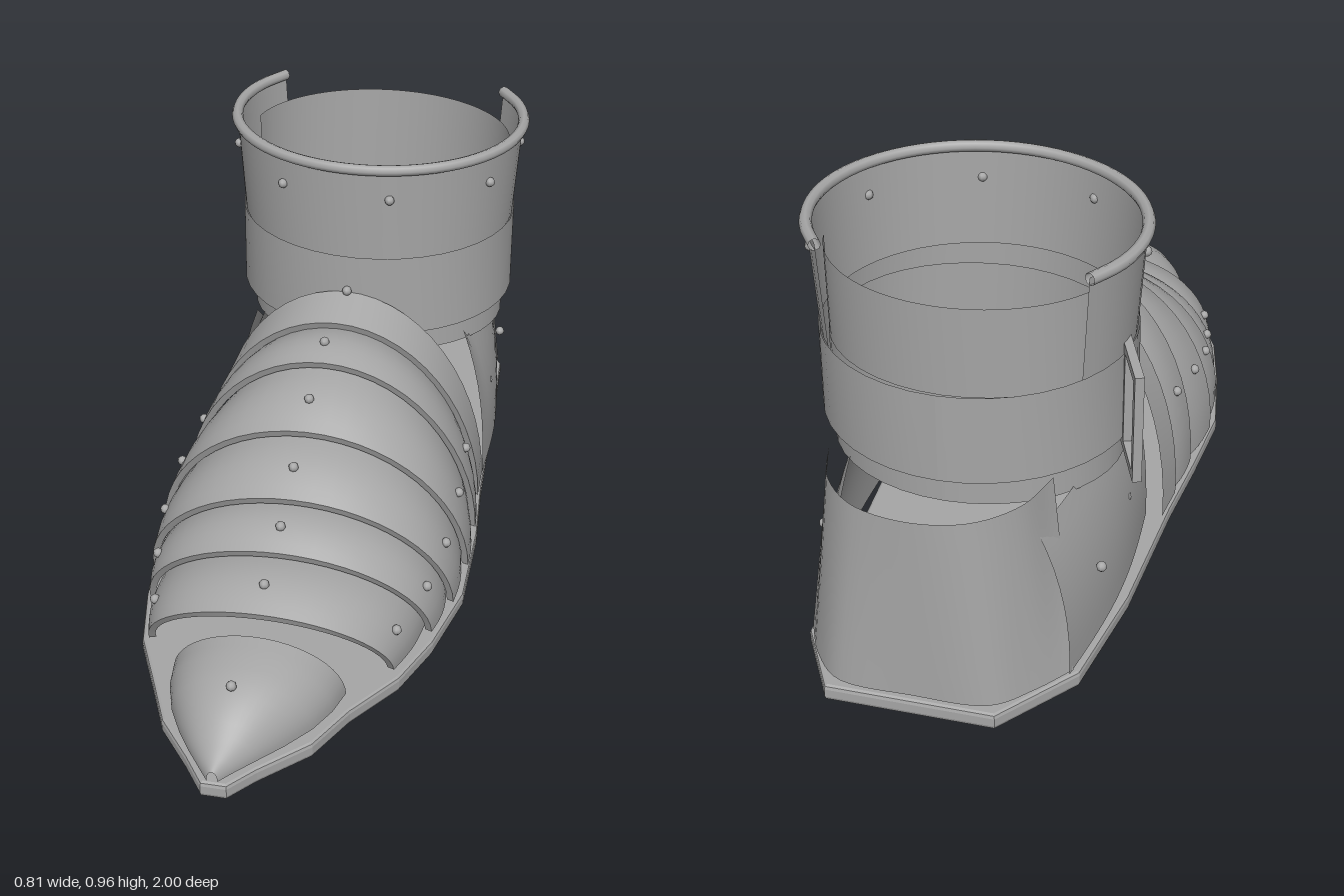
import * as THREE from 'three';

const steel = new THREE.MeshStandardMaterial({ color: 0xa6a6a6, side: THREE.DoubleSide });
steel.name = 'steel';
const BASE = 0.05;
const lerp = THREE.MathUtils.lerp;

// Grid surface from a rule fn(u, v) -> [x, y, z]
function surface(name, fn, nu, nv) {
  const pos = [], idx = [];
  for (let j = 0; j <= nv; j++)
    for (let i = 0; i <= nu; i++) pos.push(...fn(i / nu, j / nv));
  for (let j = 0; j < nv; j++)
    for (let i = 0; i < nu; i++) {
      const a = j * (nu + 1) + i, b = a + 1, c = a + nu + 1, d = c + 1;
      idx.push(a, b, c, b, d, c);
    }
  const g = new THREE.BufferGeometry();
  g.setAttribute('position', new THREE.Float32BufferAttribute(pos, 3));
  g.setIndex(idx);
  g.computeVertexNormals();
  const m = new THREE.Mesh(g, steel);
  m.name = name;
  return m;
}

// Point on an arched cross-section s = [z, height, halfWidth, centreX], feet swept back by shear
function arch(s, t, shear) {
  const a = Math.PI * t, k = Math.sin(a);
  return [s[3] + s[2] * Math.cos(a), BASE + (s[1] - BASE) * k, s[0] - shear * (1 - k)];
}
const mix = (a, b, t) => a.map((v, i) => lerp(v, b[i], t));

// Linear sample along a list of stations
function sample(list, t) {
  const f = t * (list.length - 1), i = Math.min(Math.floor(f), list.length - 2);
  return mix(list[i], list[i + 1], f - i);
}

// Part of an elliptical tube around the ankle, angles measured from the front
function ring(name, y0, y1, r0, r1, from, to, cz = -0.49) {
  return surface(name, (u, v) => {
    const a = lerp(from, to, u);
    return [0.03 + lerp(r0[0], r1[0], v) * Math.sin(a), lerp(y0, y1, v), cz + lerp(r0[1], r1[1], v) * Math.cos(a)];
  }, 40, 2);
}

function tube(name, points, radius, segments) {
  const curve = new THREE.CatmullRomCurve3(points);
  const m = new THREE.Mesh(new THREE.TubeGeometry(curve, segments, radius, 8), steel);
  m.name = name;
  return m;
}

export function createModel() {
  const group = new THREE.Group();
  const rivetGeo = new THREE.SphereGeometry(0.012, 8, 6);
  const rivet = (p) => {
    const m = new THREE.Mesh(rivetGeo, steel);
    m.name = 'rivet';
    m.position.set(...p);
    group.add(m);
  };

  // Flat pointed sole
  const outline = [
    [-0.13, -0.99], [0.24, -0.99], [0.33, -0.83], [0.34, -0.6], [0.355, -0.2], [0.37, 0], [0.37, 0.25],
    [0.325, 0.44], [0.27, 0.58], [0.18, 0.71], [0.12, 0.83], [0.02, 0.93], [-0.03, 0.99], [-0.08, 0.99],
    [-0.13, 0.92], [-0.21, 0.82], [-0.26, 0.71], [-0.33, 0.56], [-0.365, 0.4], [-0.395, 0.2],
    [-0.375, 0], [-0.35, -0.2], [-0.32, -0.55], [-0.27, -0.82]
  ].map(([x, z]) => new THREE.Vector2(x, -z));
  const soleGeo = new THREE.ExtrudeGeometry(new THREE.Shape(outline), {
    depth: 0.02, bevelThickness: 0.01, bevelSize: 0.008, bevelSegments: 2
  });
  soleGeo.rotateX(-Math.PI / 2).translate(0, 0.01, 0);
  const sole = new THREE.Mesh(soleGeo, steel);
  sole.name = 'sole';
  group.add(sole);

  // Overlapping lames over the foot: each seam is [z, height, halfWidth, centreX]
  const seams = [
    [-0.16, 0.61, 0.352, 0.005], [-0.06, 0.575, 0.36, 0], [0.08, 0.545, 0.372, 0], [0.24, 0.45, 0.385, -0.01],
    [0.39, 0.36, 0.372, -0.012], [0.51, 0.295, 0.342, -0.016], [0.66, 0.235, 0.29, -0.028]
  ];
  for (let k = 0; k < seams.length - 1; k++) {
    const first = k === 0;
    const rear = [...seams[k]], front = [...seams[k + 1]];
    if (!first) {
      rear[0] -= 0.02;
      rear[1] -= 0.022;
      rear[2] -= 0.02;
    }
    const section = (v) => {
      const s = mix(rear, front, v), bulge = first ? 0 : Math.sin(Math.PI * v);
      s[1] += 0.016 * bulge;
      s[2] += 0.008 * bulge;
      return s;
    };
    group.add(surface(first ? 'instepPlate' : 'footLame', (u, v) => arch(section(v), u, 0.09), 28, 6));
    // Turned-in front lip giving the plate its thickness
    const inner = [front[0] - 0.006, front[1] - 0.018, front[2] - 0.016, front[3]];
    group.add(surface('lameLip', (u, v) => arch(mix(front, inner, v), u, 0.09), 28, 1));
    // Rivets on the crown and both flanks
    const mid = section(0.6);
    mid[1] += 0.003;
    mid[2] += 0.004;
    if (first) rivet([0.01, 0.615, -0.155]);
    else for (const t of [0.14, 0.51, 0.86]) rivet(arch(mid, t, 0.09));
  }

  // Pointed toe cap
  const toe = [
    [0.7, 0.205, 0.2, -0.03], [0.76, 0.197, 0.187, -0.035], [0.82, 0.183, 0.16, -0.04], [0.88, 0.155, 0.118, -0.047],
    [0.93, 0.115, 0.075, -0.053], [0.97, 0.09, 0.038, -0.056], [0.998, 0.075, 0.012, -0.057]
  ];
  group.add(surface('toeCap', (u, v) => arch(sample(toe, v), u, 0.03 * (1 - v)), 24, 12));
  rivet([-0.05, 0.18, 0.84]);

  // Side plates, leaning inward towards the top
  for (const side of [1, -1]) {
    group.add(surface('sidePlate', (u, v) => {
      const t = side > 0 ? u : 1 - u;
      const bottom = lerp(0.32, 0.285, t), top = lerp(0.255, 0.215, t);
      const height = 0.42 + 0.06 * Math.max(0, 1 - t * 8);
      const x = lerp(bottom, top, v ** 2.4) + 0.025 * Math.sin(Math.PI * t) + 0.012 * (1 - t);
      return [side * x + 0.025, lerp(BASE, height, v), lerp(-0.25, -0.845, t)];
    }, 16, 8));
    for (const z of [-0.43, -0.69]) rivet([side * 0.318 + 0.025, 0.23, z]);
  }

  // Heel counter, lofted from a squarish foot to a round top edge
  const curveOf = (pts) => new THREE.CatmullRomCurve3(pts.map((p) => new THREE.Vector3(...p)));
  const heelBottom = curveOf([[0.33, BASE, -0.83], [0.29, BASE, -0.91], [0.22, BASE, -0.98], [0.05, BASE, -0.99],
    [-0.12, BASE, -0.98], [-0.2, BASE, -0.91], [-0.265, BASE, -0.83]]);
  const heelTop = curveOf([[0.285, 0.51, -0.77], [0.25, 0.51, -0.88], [0.17, 0.51, -0.96], [0.04, 0.51, -0.988],
    [-0.08, 0.51, -0.96], [-0.165, 0.51, -0.88], [-0.205, 0.51, -0.77]]);
  group.add(surface('heelCounter', (u, v) =>
    heelBottom.getPoint(u).lerp(heelTop.getPoint(u), v).toArray(), 32, 6));

  // Ankle: inner sleeve, tall back plate, middle band, flared front cuff
  const full = Math.PI, open = 2.22, inner = [0.328, 0.275];
  group.add(ring('ankleSleeve', 0.41, 0.68, inner, inner, -full, full, -0.5));
  group.add(ring('ankleBackPlate', 0.66, 0.89, inner, [0.33, 0.28], 1.75, 2 * full - 1.75, -0.495));
  group.add(ring('ankleBand', 0.495, 0.707, [0.351, 0.33], [0.35, 0.33], -full, full));
  group.add(ring('frontCuff', 0.7, 0.95, [0.345, 0.325], [0.362, 0.332], -open, open));

  // Rolled rim along the cuff
  const rim = [];
  for (let i = 0; i <= 18; i++) {
    const a = lerp(-open, open, i / 18);
    rim.push(new THREE.Vector3(0.03 + 0.362 * Math.sin(a), 0.946, -0.49 + 0.332 * Math.cos(a)));
  }
  group.add(tube('cuffRim', rim, 0.014, 48));

  // Cuff rivets
  for (let i = -2; i <= 3; i++) {
    const a = THREE.MathUtils.degToRad(13 + 45 * (i - 0.0));
    if (Math.abs(a) < open) rivet([0.03 + 0.359 * Math.sin(a), 0.868, -0.49 + 0.333 * Math.cos(a)]);
  }

  // Buckle frame with a centre bar on the right of the ankle
  const buckle = new THREE.Group();
  buckle.name = 'buckle';
  const bar = (name, w, h, x, y) => {
    const m = new THREE.Mesh(new THREE.BoxGeometry(w, h, 0.02), steel);
    m.name = name;
    m.position.set(x, y, 0);
    buckle.add(m);
  };
  for (const s of [-1, 1]) {
    bar('buckleSide', 0.02, 0.25, s * 0.11, 0);
    bar('buckleEnd', 0.24, 0.02, 0, s * 0.12);
  }
  bar('buckleBar', 0.016, 0.23, 0.01, 0);
  buckle.position.set(-0.322, 0.6, -0.58);
  buckle.rotation.y = -Math.PI / 2 + 0.37;
  group.add(buckle);

  return group;
}
